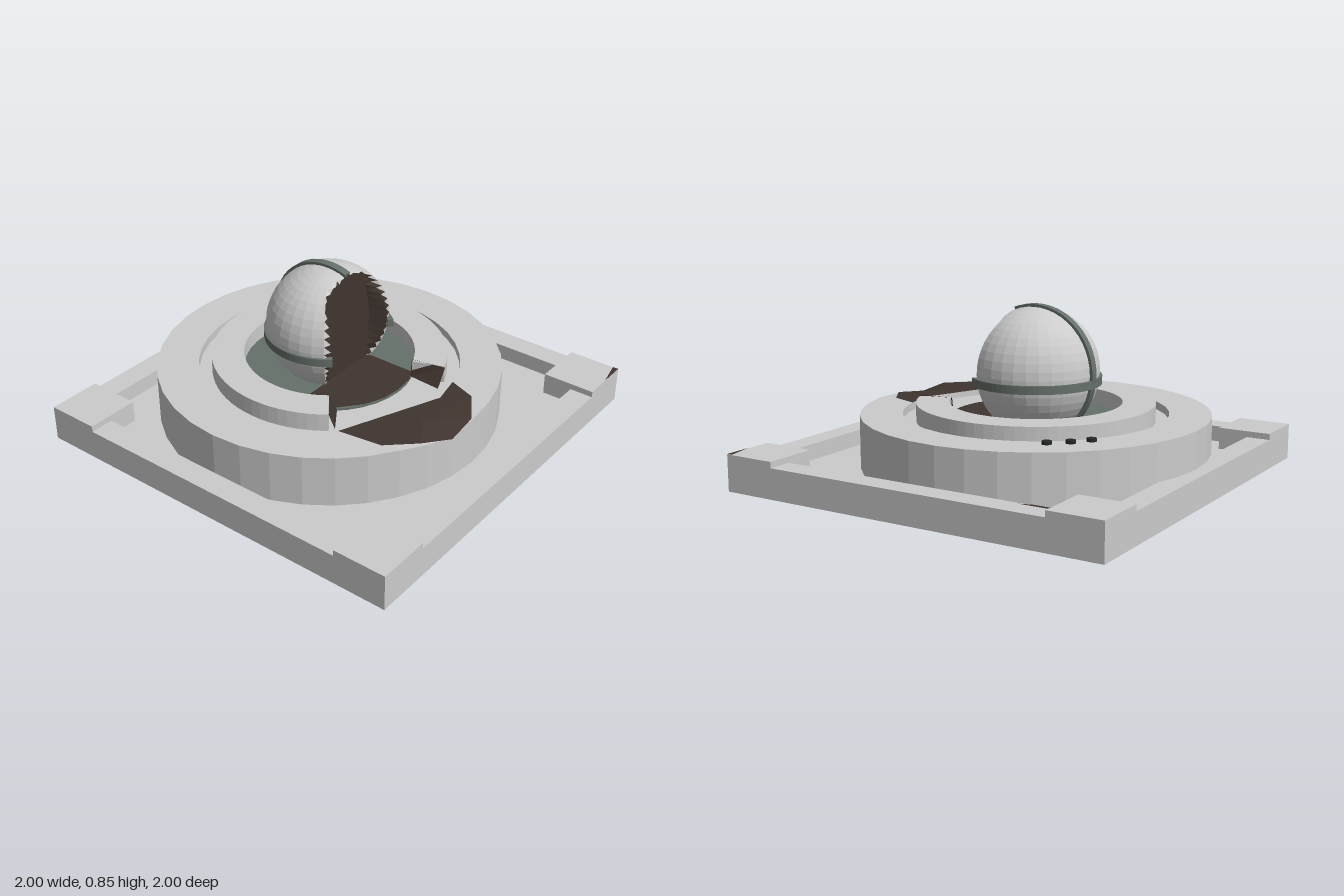
import * as THREE from 'three';

const mat = (color, side = THREE.FrontSide) =>
  new THREE.MeshStandardMaterial({ color, flatShading: true, side });
const GREY = mat(0xcccccc);
const GREEN = mat(0x66706a);
const DARK = mat(0x24282a);
const BROKEN = mat(0x40352f, THREE.DoubleSide);
const CZ = -0.08;            // shared z centre of the round parts
const BALL_Y = 0.53, BALL_R = 0.31;
const deg = Math.PI / 180;

export function createModel() {
  const group = new THREE.Group();

  const add = (name, geometry, material, x = 0, y = 0, z = 0) => {
    const mesh = new THREE.Mesh(geometry, material);
    mesh.name = name;
    mesh.position.set(x, y, z);
    group.add(mesh);
    return mesh;
  };
  const box = (name, w, h, d, x, y0, z) =>
    add(name, new THREE.BoxGeometry(w, h, d), GREY, x, y0 + h / 2, z);

  // Flat-sided ring segment lying on y = 0 (front is at -90 degrees)
  const arcRing = (rIn, rOut, a0, a1, h, segs) => {
    const shape = new THREE.Shape();
    shape.absarc(0, 0, rOut, a0 * deg, a1 * deg, false);
    shape.absarc(0, 0, rIn, a1 * deg, a0 * deg, true);
    return new THREE.ExtrudeGeometry(shape, { depth: h, bevelEnabled: false, curveSegments: segs });
  };

  // Fan of triangles around the first point
  const patch = (name, points) => {
    const pos = [];
    for (let i = 1; i < points.length - 1; i++) pos.push(...points[0], ...points[i], ...points[i + 1]);
    const g = new THREE.BufferGeometry();
    g.setAttribute('position', new THREE.Float32BufferAttribute(pos, 3));
    g.computeVertexNormals();
    add(name, g, BROKEN);
  };

  // Square tray: floor, rim bars and raised corner blocks
  box('baseFloor', 2, 0.07, 2, 0, 0, 0);
  for (const s of [-1, 1]) {
    box('sideRim', 0.12, 0.08, 1.46, s * 0.94, 0.07, 0);
    box('endRim', 1.46, 0.08, 0.12, 0, 0.07, s * 0.94);
    for (const t of [-1, 1]) box('cornerBlock', 0.27, 0.11, 0.27, s * 0.865, 0.07, t * 0.865);
  }

  // Round platform with a groove inside its top and a dipped, chipped front edge
  const profile = [[0.85, 0.07], [0.85, 0.33], [0.645, 0.33], [0.645, 0.29], [0, 0.29]]
    .map(([r, y]) => new THREE.Vector2(r, y));
  const platform = new THREE.LatheGeometry(profile, 36);
  const pp = platform.attributes.position;
  for (let i = 0; i < pp.count; i++) {
    const x = pp.getX(i), z = pp.getZ(i);
    if (z > 0.7 && pp.getY(i) > 0.3) {
      pp.setY(i, 0.33 - 0.04 * Math.max(0, 1 - Math.abs(x + 0.17) / 0.2));
    }
  }
  platform.computeVertexNormals();
  add('platform', platform, GREY, 0, 0, CZ);

  // Raised collar, open where its front is broken away
  const collar = arcRing(0.42, 0.58, -69, 218, 0.09, 30);
  collar.rotateX(-Math.PI / 2);
  add('collar', collar, GREY, 0, 0.29, CZ);
  add('socketFloor', new THREE.CylinderGeometry(0.42, 0.42, 0.01, 36), GREEN, 0, 0.297, CZ);

  // Ball: everything in front of the fracture is pushed back onto it
  const cut = (x) => 0.03 + 0.09 * THREE.MathUtils.clamp((Math.abs(x) - 0.17) / 0.06, 0, 1);
  const ball = new THREE.SphereGeometry(BALL_R, 32, 24).toNonIndexed();
  const bp = ball.attributes.position;
  const shell = [], fracture = [];
  for (let i = 0; i < bp.count; i += 3) {
    const tri = [];
    let pushed = 0;
    for (let k = i; k < i + 3; k++) {
      const x = bp.getX(k), z = bp.getZ(k), limit = cut(x) - CZ;
      if (z > limit) pushed++;
      tri.push(x, bp.getY(k), Math.min(z, limit));
    }
    (pushed >= 2 ? fracture : shell).push(...tri);
  }
  for (const [name, pos, material] of [['ball', shell, GREY], ['ballFracture', fracture, BROKEN]]) {
    const g = new THREE.BufferGeometry();
    g.setAttribute('position', new THREE.Float32BufferAttribute(pos, 3));
    g.computeVertexNormals();
    add(name, g, material, 0, BALL_Y, CZ);
  }

  // Belt round the ball and strap over its top
  const belt = arcRing(0.29, 0.32, -41, 221, 0.04, 28);
  belt.rotateX(-Math.PI / 2);
  add('ballBelt', belt, GREEN, 0, 0.47, CZ);
  const strap = arcRing(0.29, 0.322, 70, 225, 0.04, 20);
  strap.rotateY(-Math.PI / 2);
  add('ballStrap', strap, GREEN, 0.02, BALL_Y, CZ);

  // Three studs at the back
  for (const [x, z] of [[0.42, -0.62], [0.5, -0.56], [0.57, -0.48]]) {
    add('stud', new THREE.CylinderGeometry(0.023, 0.023, 0.03, 12), DARK, x, 0.33, z);
  }

  // Broken surfaces
  patch('platformChip', [
    [-0.17, 0.334, 0.6], [-0.48, 0.334, 0.35], [-0.45, 0.334, 0.57], [-0.33, 0.334, 0.7],
    [-0.17, 0.296, 0.765], [-0.02, 0.328, 0.768], [0.13, 0.334, 0.67], [0.18, 0.334, 0.53],
    [0.03, 0.334, 0.56], [-0.48, 0.334, 0.35],
  ]);
  patch('socketFracture', [
    [0, 0.307, 0.03], [-0.3, 0.307, 0.03], [-0.33, 0.307, 0.18], [-0.2, 0.307, 0.29],
    [-0.1, 0.307, 0.33], [0, 0.307, 0.34], [0.1, 0.307, 0.33], [0.17, 0.307, 0.3], [0.17, 0.307, 0.03],
  ]);
  patch('leftCollarBreak', [[-0.46, 0.381, 0.28], [-0.33, 0.381, 0.18], [-0.31, 0.3, 0.21], [-0.44, 0.3, 0.3]]);
  patch('rightCollarBreak', [[0.2, 0.381, 0.47], [0.165, 0.381, 0.3], [0.14, 0.3, 0.31], [0.13, 0.3, 0.48]]);
  patch('cornerChip', [[0.86, 0.182, 1], [1, 0.182, 1], [1, 0.182, 0.97]]);
  patch('rimChip', [[0.88, 0.153, -0.72], [0.9, 0.153, -0.69], [0.9, 0.153, -0.54], [0.88, 0.153, -0.6]]);

  return group;
}
